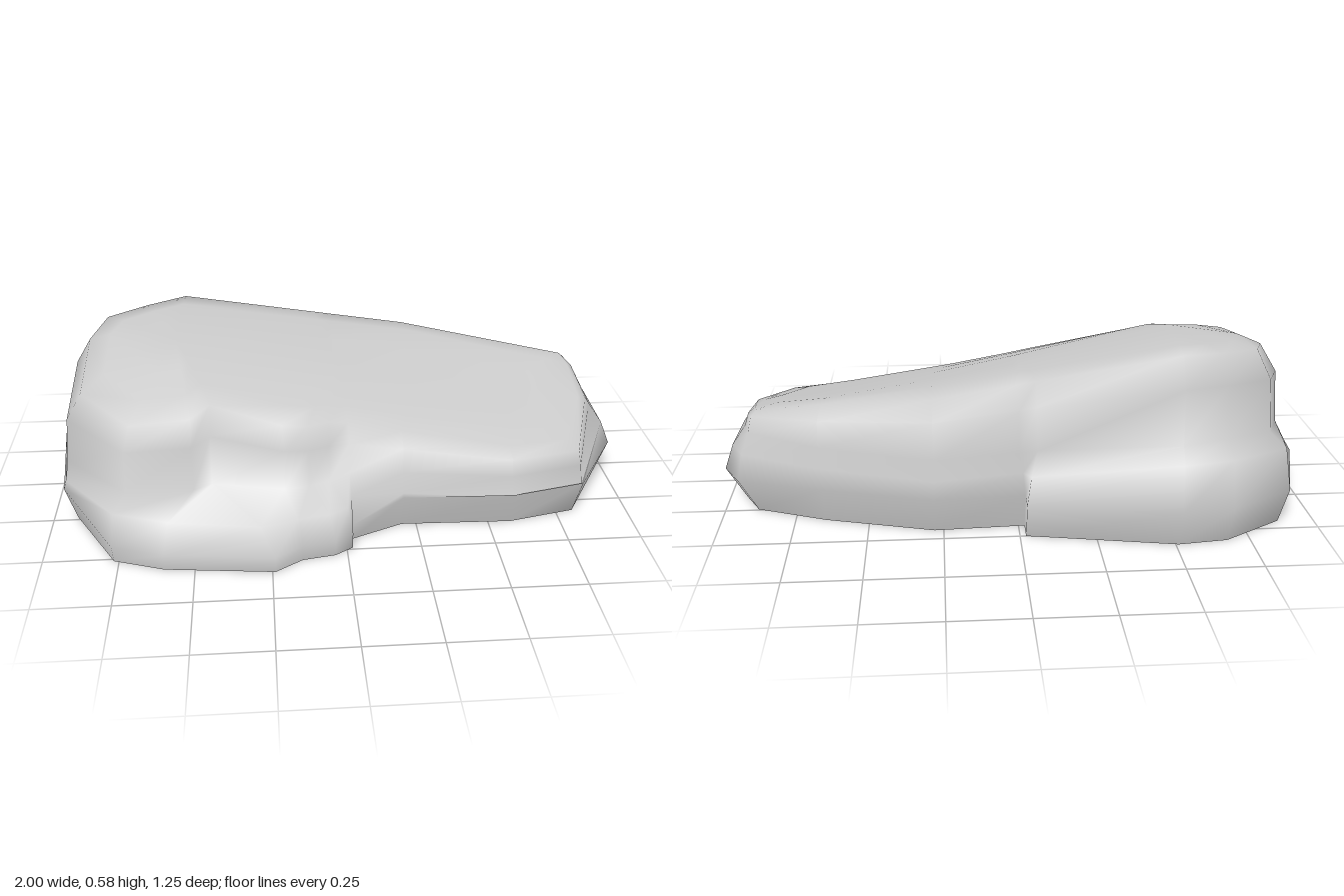
import * as THREE from 'three';
import { mergeVertices } from 'three/addons/utils/BufferGeometryUtils.js';

// Plan outlines [x, z], matching column by column: widest girth and upper wall
const girth = [
  [-1, -.15], [-.9, -.48], [-.68, -.61], [-.51, -.63], [-.02, -.54], [-.02, -.465],
  [.28, -.48], [.65, -.38], [.94, -.29], [1, -.18], [1, .07], [.83, .35], [.58, .41],
  [.2, .4], [.02, .45], [.02, .5], [-.04, .54], [-.15, .56], [-.24, .62], [-.6, .58],
  [-.77, .52], [-.95, .26],
];
const wall = [
  [-.94, -.14], [-.87, -.31], [-.7, -.4], [-.54, -.455], [-.06, -.455], [0, -.455],
  [.28, -.455], [.66, -.35], [.9, -.25], [.92, -.18], [.92, .04], [.82, .33], [.57, .39],
  [.2, .37], [.02, .36], [-.05, .37], [-.12, .4], [-.2, .41], [-.44, .36], [-.5, .43],
  [-.72, .44], [-.93, .24],
];
// Height where the skirt meets the wall
const ledge = [.24, .27, .285, .285, .285, .28, .26, .27, .29, .29, .28, .19, .19,
  .21, .21, .19, .19, .19, .19, .21, .22, .23];

// Height of the top along its ridge
const ridge = [[-1, .5], [-.82, .565], [-.53, .585], [-.2, .53], [.2, .465], [.5, .42], [.9, .38], [1, .36]];

function ridgeHeight(x) {
  for (let i = 1; i < ridge.length; i++) {
    const [x0, y0] = ridge[i - 1], [x1, y1] = ridge[i];
    if (x <= x1) return mix(y0, y1, (x - x0) / (x1 - x0));
  }
  return ridge[ridge.length - 1][1];
}

const mix = (a, b, t) => a + (b - a) * t;
const { clamp } = THREE.MathUtils;

// The left of the top is level and then falls to the front; the right slants evenly
function topHeight(x, z) {
  const left = .05 * (z + .37) + .31 * Math.max(0, z - .03);
  const right = .23 * Math.max(0, z + .27);
  return ridgeHeight(x) - mix(left, right, clamp(x + .5, 0, 1));
}

// Front and back columns meet at shared points along the middle of the top
const spineX = [-.56, 0, .28, .62];
function spine(x) {
  const nearest = spineX.reduce((a, b) => (Math.abs(b - x) < Math.abs(a - x) ? b : a));
  return [nearest, 0];
}

// Move a plan point a fixed distance towards the long axis
function inset([x, z], d) {
  const dx = clamp(x, -.6, .62) - x, dz = -.02 - z;
  const t = d / Math.hypot(dx, dz);
  return [x + dx * t, z + dz * t];
}

// One upright section, from the ground to the spine
function section(i) {
  const g = girth[i], w = wall[i], h = ledge[i];
  const front = g[1] > .44;
  const stepped = Math.hypot(g[0] - w[0], g[1] - w[1]) > .1;
  const foot = inset(g, front ? .01 : g[0] > .9 ? .07 : .04);
  const t = front ? .22 : stepped ? .28 : .4;
  const lip = [mix(g[0], w[0], t), mix(g[1], w[1], t)];
  const lipDrop = front ? .045 : stepped ? .01 : .07;
  const upper = inset(w, .015), shoulder = inset(w, g[0] > .9 ? .04 : .075);
  const sp = spine(w[0]), top = topHeight(...shoulder);
  const points = [
    [foot[0], 0, foot[1]],
    [g[0], front ? .06 : .13, g[1]],
    [lip[0], h - lipDrop, lip[1]],
    [w[0], h, w[1]],
    [upper[0], mix(h, top, .64), upper[1]],
    [shoulder[0], top - .01, shoulder[1]],
  ];
  for (const s of [.25, .6, 1]) {
    const x = mix(shoulder[0], sp[0], s), z = mix(shoulder[1], sp[1], s);
    points.push([x, topHeight(x, z), z]);
  }
  return points;
}

// Skin the sections into one closed-round shell, open underneath
function shell() {
  const sections = girth.map((_, i) => section(i));
  const n = sections.length, rows = sections[0].length, index = [];
  for (let i = 0; i < n; i++) {
    for (let j = 0; j < rows - 1; j++) {
      const a = i * rows + j, b = ((i + 1) % n) * rows + j;
      index.push(a, a + 1, b, b, a + 1, b + 1);
    }
  }
  const geometry = new THREE.BufferGeometry();
  geometry.setAttribute('position', new THREE.Float32BufferAttribute(sections.flat(2), 3));
  geometry.setIndex(index);
  const welded = mergeVertices(geometry, 1e-4);
  welded.computeVertexNormals();
  return welded;
}

export function createModel() {
  const group = new THREE.Group();
  group.name = 'boulder';
  const stone = new THREE.MeshStandardMaterial({ color: 0xcccccc, side: THREE.DoubleSide });
  const rock = new THREE.Mesh(shell(), stone);
  rock.name = 'rockShell';
  group.add(rock);
  return group;
}
